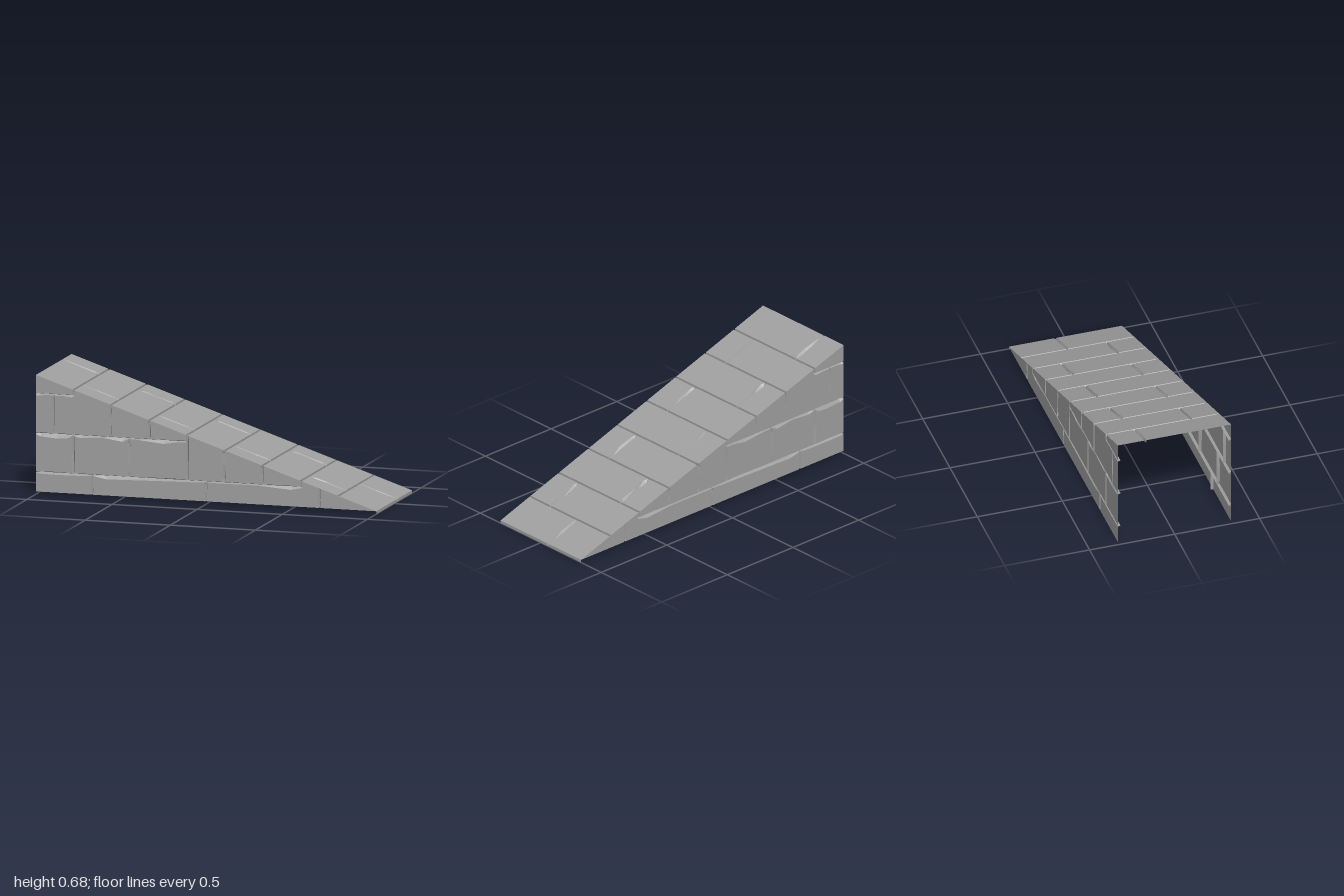
import * as THREE from 'three';

const HALF = 0.333, BASE = 0.016, TOP = 0.68, DEPTH = 0.015;
const SLOPE = (TOP - BASE) / 2;
const slopeY = x => BASE + SLOPE * (1 - x);
const near = (a, b) => Math.abs(a - b) < 1e-4;
const V = (x, y) => new THREE.Vector2(x, y);

// small seeded generator for the chipped stone edges
function seeded(seed) {
  return () => (seed = (seed * 16807) % 2147483647) / 2147483647;
}

// One stone: a flat face whose joint edges are bevelled down into the groove.
// style(mid, dir) gives { width, chip } for a joint edge, or null for a plain edge.
function addStone(out, pts, style, map, rand) {
  const n = pts.length;
  const edges = pts.map((a, i) => {
    const b = pts[(i + 1) % n];
    const dir = b.clone().sub(a);
    const length = dir.length();
    dir.normalize();
    const joint = style(a.clone().add(b).multiplyScalar(0.5), dir);
    return { a, b, length, joint, normal: V(-dir.y, dir.x), w: joint ? joint.width : 0 };
  });
  // mitred inner corners
  const inner = edges.map((e, i) => {
    const p = edges[(i + n - 1) % n], m = p.normal, k = e.normal;
    const det = m.x * k.y - m.y * k.x;
    return V(e.a.x + (p.w * k.y - e.w * m.y) / det, e.a.y + (m.x * e.w - k.x * p.w) / det);
  });
  const push = (p, d) => out.push(...map(p.x, p.y, d));
  const face = [];
  edges.forEach((e, i) => {
    const a = inner[i], b = inner[(i + 1) % n];
    const rim = [a], low = [e.a];
    if (e.joint && e.joint.chip && e.length > 0.08) {
      for (const t of [0.12, 0.4 + 0.2 * rand(), 0.88]) {
        rim.push(a.clone().lerp(b, t).addScaledVector(e.normal, e.joint.chip * rand() ** 2));
        low.push(e.a.clone().lerp(e.b, t));
      }
    }
    face.push(...rim);
    if (!e.joint) return;
    rim.push(b);
    low.push(e.b);
    for (let j = 0; j + 1 < rim.length; j++) {
      push(low[j], DEPTH); push(low[j + 1], DEPTH); push(rim[j + 1], 0);
      push(low[j], DEPTH); push(rim[j + 1], 0); push(rim[j], 0);
    }
  });
  for (const tri of THREE.ShapeUtils.triangulateShape(face, [])) {
    for (const k of tri) push(face[k], 0);
  }
}

function makePanel(name, stones, style, map, material, seed, flip = false) {
  const out = [], rand = seeded(seed);
  stones.forEach(s => addStone(out, s, style, map, rand));
  if (flip) { // mirrored panels need the opposite corner order
    for (let i = 0; i < out.length; i += 9) {
      for (let c = 0; c < 3; c++) [out[i + 3 + c], out[i + 6 + c]] = [out[i + 6 + c], out[i + 3 + c]];
    }
  }
  const geometry = new THREE.BufferGeometry();
  geometry.setAttribute('position', new THREE.Float32BufferAttribute(out, 3));
  geometry.computeVertexNormals();
  const mesh = new THREE.Mesh(geometry, material);
  mesh.name = name;
  return mesh;
}

// Masonry of one side wall, cut off along the slope
function wallStones() {
  const Y1 = 0.128, Y2 = 0.349, Y3 = 0.574;
  const box = (x0, x1, y0, y1) => [V(x0, y0), V(x1, y0), V(x1, y1), V(x0, y1)];
  const cut = (x0, x1, y0) => [V(x0, y0), V(x1, y0), V(x1, slopeY(x1)), V(x0, slopeY(x0))];
  // stone with a flat top up to xs, then rising to the slope
  const notched = (x0, xs, x1, y0, y1) =>
    [V(x0, y0), V(x1, y0), V(x1, slopeY(x1)), V(xs, slopeY(xs)), V(xs, y1), V(x0, y1)];
  return [
    // bottom course
    box(-1, -0.67, BASE, Y1), box(-0.67, 0, BASE, Y1), notched(0, 0.56, 0.665, BASE, Y1),
    [V(0.665, BASE), V(1, BASE), V(0.665, slopeY(0.665))],
    // second course
    box(-1, -0.78, Y1, Y2), box(-0.78, -0.45, Y1, Y2), box(-0.45, -0.11, Y1, Y2),
    cut(-0.11, 0.105, Y1), cut(0.105, 0.33, Y1), cut(0.33, 0.56, Y1),
    // third course
    box(-1, -0.895, Y2, Y3), notched(-0.895, -0.78, -0.56, Y2, Y3),
    cut(-0.56, -0.335, Y2), cut(-0.335, -0.11, Y2),
    // top stone
    cut(-1, -0.78, Y3),
  ];
}

export function createModel() {
  const group = new THREE.Group();
  group.name = 'stoneRamp';
  const material = new THREE.MeshStandardMaterial({
    color: 0x9f9f9f, flatShading: true, side: THREE.DoubleSide,
  });

  // side walls: worn upper edges, crisp lower edges, slightly chipped upright joints
  const wallStyle = (m, dir) => {
    if (near(m.y, BASE) || near(m.x, -1) || near(m.y, slopeY(m.x))) return null;
    if (dir.x < -0.5) return { width: 0.005, chip: 0.022 };
    return dir.x > 0.5 ? { width: 0.004, chip: 0.003 } : { width: 0.005, chip: 0.009 };
  };
  const stones = wallStones();
  group.add(makePanel('frontWall', stones, wallStyle, (x, y, d) => [x, y, HALF - d], material, 11));
  group.add(makePanel('backWall', stones, wallStyle, (x, y, d) => [x, y, d - HALF], material, 11, true));

  // sloping deck: rows of two slabs with staggered joints
  const c = 1 / Math.hypot(1, SLOPE), s = SLOPE * c;
  const rows = [-1, -0.78, -0.56, -0.335, -0.115, 0.11, 0.33, 0.555, 0.775, 1 + DEPTH * s];
  const slabs = [];
  for (let i = 0; i < 9; i++) {
    const u0 = (rows[i] + 1) / c, u1 = (rows[i + 1] + 1) / c;
    const joint = i === 8 ? 0.06 : i % 2 ? -0.168 : 0.17;
    for (const [v0, v1] of [[-HALF, joint], [joint, HALF]]) {
      slabs.push([V(u0, v0), V(u1, v0), V(u1, v1), V(u0, v1)]);
    }
  }
  const deckStyle = (m, dir) => {
    if (near(Math.abs(m.y), HALF) || near(m.x, 0)) return null;
    return { width: 0.006, chip: Math.abs(dir.x) > 0.5 ? 0.012 : 0 };
  };
  const deckMap = (u, v, d) => [-1 + u * c - d * s, TOP - u * s - d * c, -v];
  group.add(makePanel('rampDeck', slabs, deckStyle, deckMap, material, 29));
  return group;
}
